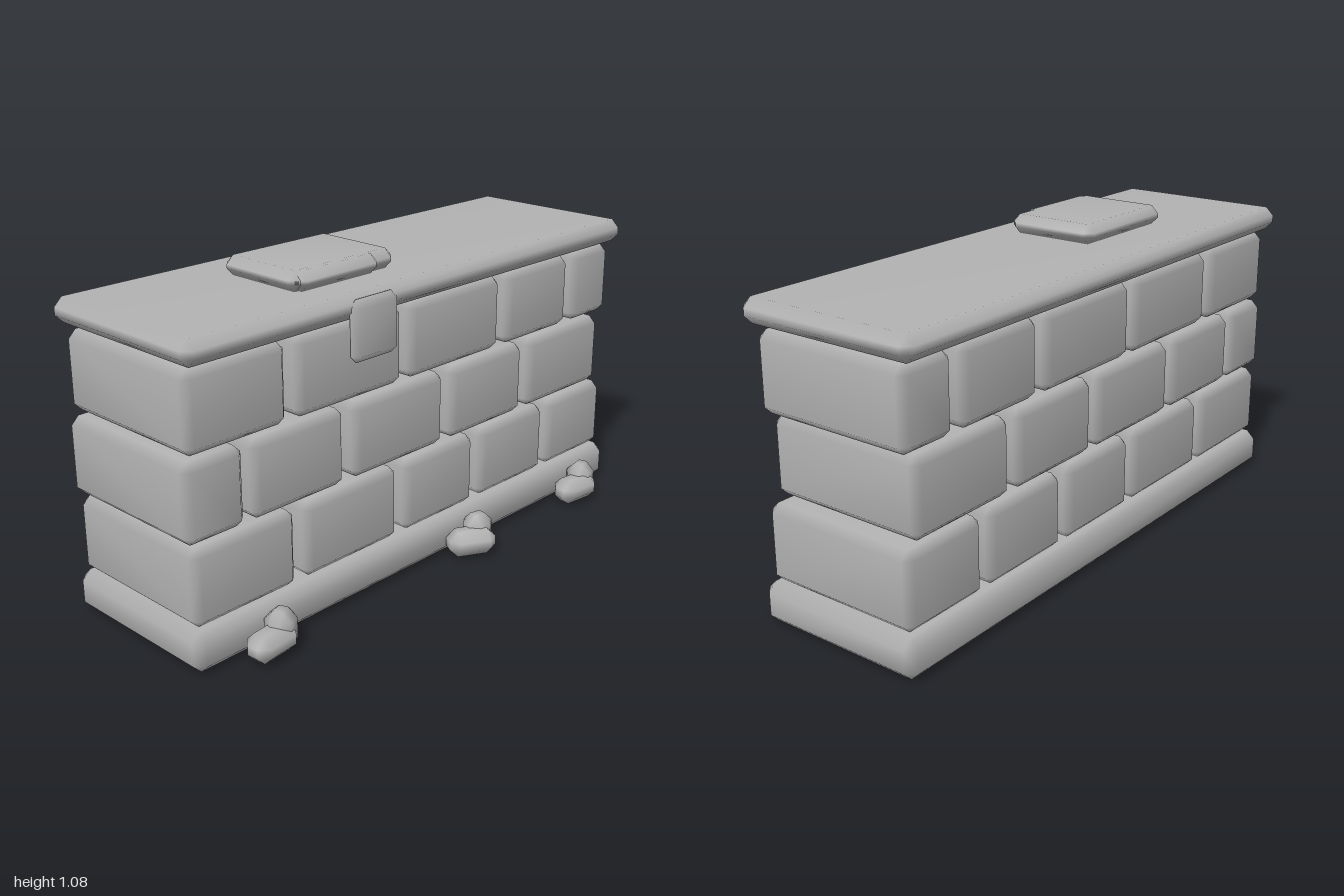
import * as THREE from 'three';
import { ConvexGeometry } from 'three/addons/geometries/ConvexGeometry.js';
import { mergeVertices } from 'three/addons/utils/BufferGeometryUtils.js';

const stone = new THREE.MeshStandardMaterial({ color: 0xb2b2b2 });
stone.name = 'grey stone';

// Box with chamfered edges and smooth, shared normals
function chamferBox(w, h, d, c) {
  const points = [];
  for (const x of [-w / 2, w / 2]) for (const y of [-h / 2, h / 2]) for (const z of [-d / 2, d / 2]) {
    const cx = x - Math.sign(x) * c, cy = y - Math.sign(y) * c, cz = z - Math.sign(z) * c;
    points.push(
      new THREE.Vector3(x, cy, cz),
      new THREE.Vector3(cx, y, cz),
      new THREE.Vector3(cx, cy, z)
    );
  }
  const raw = new ConvexGeometry(points);
  raw.deleteAttribute('normal');
  const geometry = mergeVertices(raw, 1e-5);
  geometry.computeVertexNormals();
  return geometry;
}

// Stone given by its extents on each axis
function block(name, [x0, x1], [y0, y1], [z0, z1], c) {
  const mesh = new THREE.Mesh(chamferBox(x1 - x0, y1 - y0, z1 - z0, c), stone);
  mesh.name = name;
  mesh.position.set((x0 + x1) / 2, (y0 + y1) / 2, (z0 + z1) / 2);
  return mesh;
}

export function createModel() {
  const group = new THREE.Group();
  group.name = 'stoneWall';

  // Base and capping slabs
  group.add(block('baseSlab', [-1, 1], [0, 0.135], [-0.355, 0.245], 0.03));
  group.add(block('capSlab', [-1, 1], [0.935, 1.015], [-0.375, 0.262], 0.028));

  // Three staggered courses of blocks running through the wall
  const courses = [
    { y: [0.137, 0.39], xs: [[-0.985, -0.59], [-0.555, -0.145], [-0.11, 0.235], [0.27, 0.625], [0.655, 0.98]] },
    { y: [0.403, 0.656], xs: [[-1, -0.78], [-0.755, -0.38], [-0.345, 0.075], [0.11, 0.49], [0.525, 0.94]] },
    { y: [0.669, 0.922], xs: [[-0.985, -0.61], [-0.575, -0.125], [-0.095, 0.355], [0.39, 0.735], [0.77, 0.98]] }
  ];
  for (const { y, xs } of courses) {
    for (const x of xs) group.add(block('wallBlock', x, y, [-0.335, 0.225], 0.026));
  }

  // Loose slabs on top and the flat stone hanging over the front
  group.add(block('topStone', [-0.505, -0.07], [1.015, 1.08], [-0.188, 0.138], 0.026));
  group.add(block('topStoneLedge', [-0.49, -0.15], [1.016, 1.079], [-0.15, 0.153], 0.026));
  group.add(block('frontStone', [-0.397, -0.2], [0.805, 1.0], [0.233, 0.284], 0.024));

  // Pairs of rubble stones along the foot
  const rubble = [[-0.765, 0.302, 0.1], [0.135, 0.307, -0.5], [0.735, 0.307, -0.12]];
  for (const [x, z, turn] of rubble) {
    const pair = new THREE.Group();
    pair.name = 'rubblePair';
    const low = new THREE.Mesh(chamferBox(0.165, 0.09, 0.1, 0.03), stone);
    low.name = 'lowRubble';
    low.position.set(-0.01, 0.053, 0);
    low.rotation.y = turn;
    const tall = new THREE.Mesh(chamferBox(0.1, 0.125, 0.09, 0.03), stone);
    tall.name = 'tallRubble';
    tall.position.set(0.04, 0.072, -0.014);
    tall.rotation.y = turn + 0.3;
    pair.add(low, tall);
    pair.position.set(x, 0, z);
    group.add(pair);
  }
  return group;
}
